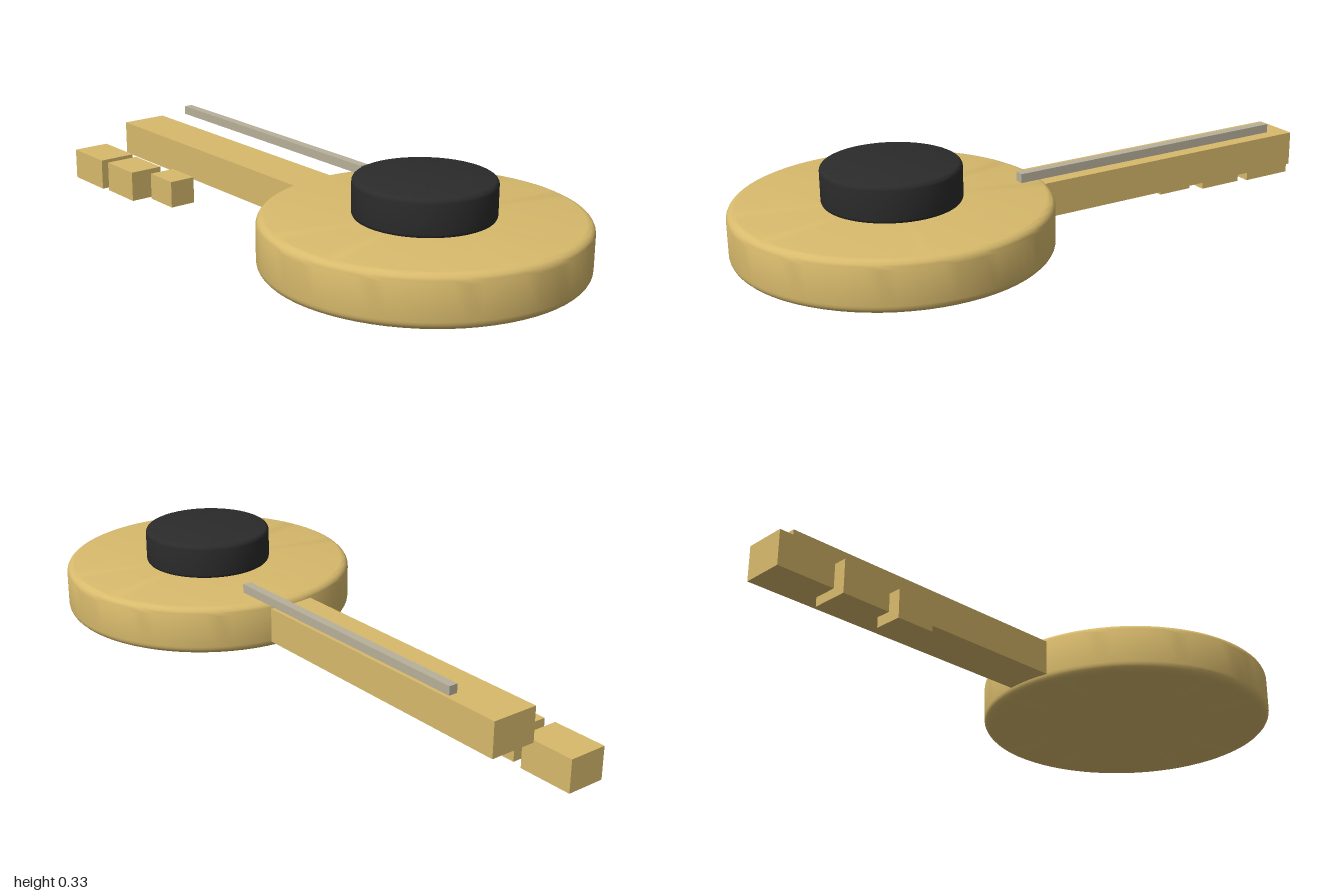
import * as THREE from 'three';
import { toCreasedNormals } from 'three/addons/utils/BufferGeometryUtils.js';

const gold = new THREE.MeshStandardMaterial({ color: 0xd8ba6c });
const black = new THREE.MeshStandardMaterial({ color: 0x2b2b2b });
const steel = new THREE.MeshStandardMaterial({ color: 0xb8b09a });

// Box given by its lower and upper corners
function block(name, material, [x0, y0, z0], [x1, y1, z1]) {
  const mesh = new THREE.Mesh(new THREE.BoxGeometry(x1 - x0, y1 - y0, z1 - z0), material);
  mesh.position.set((x0 + x1) / 2, (y0 + y1) / 2, (z0 + z1) / 2);
  mesh.name = name;
  return mesh;
}

// Upright disc with rounded rims
function disc(name, material, radius, y0, y1, round) {
  const points = [new THREE.Vector2(0, y0)];
  const steps = 5;
  for (const [cy, start] of [[y0 + round, -Math.PI / 2], [y1 - round, 0]]) {
    for (let i = 0; i <= steps; i++) {
      const a = start + (i / steps) * Math.PI / 2;
      points.push(new THREE.Vector2(radius - round + round * Math.cos(a), cy + round * Math.sin(a)));
    }
  }
  points.push(new THREE.Vector2(0, y1));
  const mesh = new THREE.Mesh(toCreasedNormals(new THREE.LatheGeometry(points, 72), 0.5), material);
  mesh.position.x = 0.54;
  mesh.name = name;
  return mesh;
}

export function createModel() {
  const model = new THREE.Group();
  model.name = 'key';

  // Round head with a raised knob
  model.add(disc('head', gold, 0.46, 0.075, 0.225, 0.025));
  model.add(disc('knob', black, 0.2, 0.22, 0.332, 0.014));

  // Shaft running into the head
  model.add(block('shaft', gold, [-0.87, 0.096, -0.075], [0.15, 0.204, 0.075]));

  // Teeth, largest at the tip
  const teeth = new THREE.Group();
  teeth.name = 'teeth';
  teeth.add(block('tipTooth', gold, [-1, 0, 0.08], [-0.826, 0.1, 0.203]));
  teeth.add(block('middleTooth', gold, [-0.792, 0.002, 0.087], [-0.641, 0.1, 0.199]));
  teeth.add(block('innerTooth', gold, [-0.579, 0.019, 0.078], [-0.459, 0.105, 0.165]));
  model.add(teeth);

  // Thin rod above the shaft
  model.add(block('rod', steel, [-0.738, 0.236, -0.11], [0.182, 0.263, -0.082]));

  return model;
}
